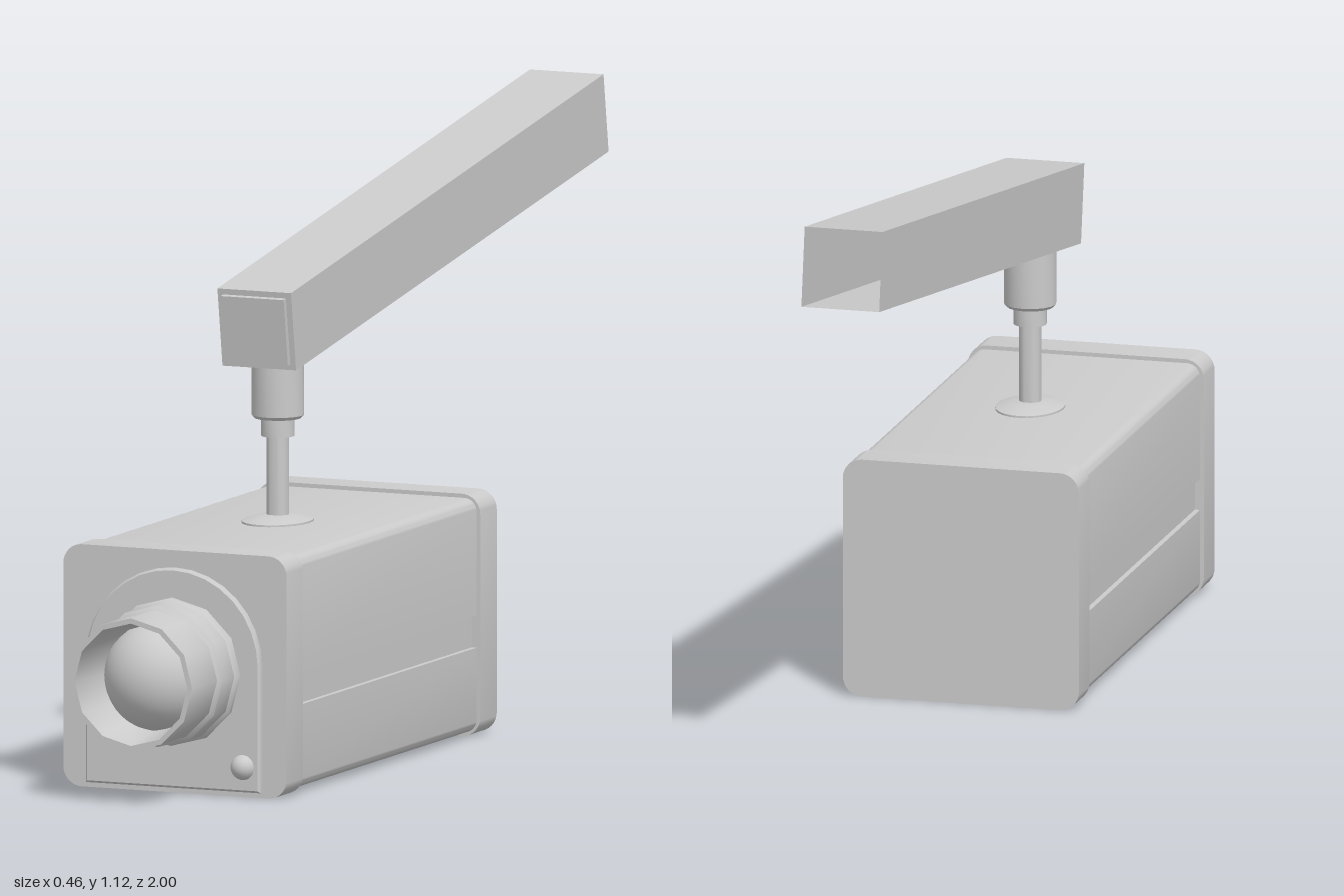
import * as THREE from 'three';
import { toCreasedNormals } from 'three/addons/utils/BufferGeometryUtils.js';

const grey = new THREE.MeshStandardMaterial({ color: 0xcccccc });
const greyDouble = new THREE.MeshStandardMaterial({ color: 0xcccccc, side: THREE.DoubleSide });
const CY = 0.2275; // height of the housing axis

function add(parent, name, geometry, position = [0, 0, 0], material = grey) {
  const mesh = new THREE.Mesh(geometry, material);
  mesh.name = name;
  mesh.position.set(...position);
  parent.add(mesh);
  return mesh;
}

// Square outline with rounded corners and an optional shallow groove in each side
function housingShape(half, radius, groove) {
  const s = new THREE.Shape();
  const c = half - radius;
  s.absarc(c, -c, radius, -Math.PI / 2, 0);
  if (groove) [[half, -0.06], [half - groove, -0.06], [half - groove, 0], [half, 0]].forEach(p => s.lineTo(...p));
  s.absarc(c, c, radius, 0, Math.PI / 2);
  s.absarc(-c, c, radius, Math.PI / 2, Math.PI);
  if (groove) [[-half, 0], [groove - half, 0], [groove - half, -0.06], [-half, -0.06]].forEach(p => s.lineTo(...p));
  s.absarc(-c, -c, radius, Math.PI, Math.PI * 1.5);
  return s;
}

function extrude(shape, depth, curveSegments = 4, bevel = 0) {
  return toCreasedNormals(new THREE.ExtrudeGeometry(shape, {
    depth, curveSegments, bevelEnabled: bevel > 0,
    bevelSize: bevel, bevelThickness: bevel, bevelOffset: -bevel, bevelSegments: 1,
  }), 0.6);
}

function lathe(points, segments) {
  return toCreasedNormals(new THREE.LatheGeometry(points.map(p => new THREE.Vector2(...p)), segments), 0.6);
}

export function createModel() {
  const model = new THREE.Group();
  model.name = 'securityCamera';

  // Housing with two end caps
  add(model, 'housing', extrude(housingShape(0.22, 0.025, 0.01), 0.84), [0, CY, -0.1]);
  const cap = extrude(housingShape(0.2275, 0.037), 0.075);
  add(model, 'frontCap', cap, [0, CY, 0.725]);
  add(model, 'rearCap', cap, [0, CY, -0.153]);

  // Arched face plate
  const arch = new THREE.Shape();
  arch.moveTo(-0.178, 0.01);
  arch.lineTo(0.178, 0.01);
  arch.absarc(0, 0.245, 0.178, 0, Math.PI);
  add(model, 'facePlate', extrude(arch, 0.008, 8, 0.004), [0, 0, 0.8]);

  // Stepped lens barrel, open at the mouth
  const barrel = lathe([
    [0.139, 0.8], [0.139, 0.82], [0.133, 0.827], [0.133, 0.88], [0.125, 0.887],
    [0.125, 1], [0.115, 1], [0.098, 0.88],
  ], 12).rotateX(Math.PI / 2);
  add(model, 'lensBarrel', barrel, [0, 0.229, 0], greyDouble);
  add(model, 'lensGlass', new THREE.SphereGeometry(0.105, 32, 20), [0, 0.229, 0.865]);
  add(model, 'indicator', new THREE.SphereGeometry(0.024, 16, 12), [0.143, 0.057, 0.808]);

  // Mounting flange and stepped post
  const flange = add(model, 'mountFlange', lathe([[1, 0.445], [1, 0.451], [0.55, 0.46], [0, 0.462]], 24), [0, 0, 0.334], greyDouble);
  flange.scale.set(0.064, 1, 0.083);
  add(model, 'mountPost', lathe([
    [0.021, 0.45], [0.021, 0.608], [0.031, 0.608], [0.031, 0.642],
    [0.044, 0.642], [0.049, 0.648], [0.049, 0.8],
  ], 16), [0, 0, 0.334], greyDouble);

  // Sloping square arm, open at the back and closed by a plug at the front
  const arm = new THREE.Group();
  arm.name = 'arm';
  arm.position.set(0, 0.931, -0.279);
  arm.rotation.x = 0.155;
  model.add(arm);
  const L = 1.434;
  const tube = new THREE.CylinderGeometry(0.075 * Math.SQRT2, 0.075 * Math.SQRT2, L, 4, 1, true);
  tube.rotateY(Math.PI / 4).rotateX(Math.PI / 2);
  add(arm, 'armTube', toCreasedNormals(tube, 0.6), [0, 0, 0], greyDouble);
  add(arm, 'armEnd', new THREE.PlaneGeometry(0.15, 0.15), [0, 0, L / 2], greyDouble);
  add(arm, 'armEndPlug', new THREE.BoxGeometry(0.128, 0.128, 0.012), [0, 0, L / 2 + 0.005]);

  return model;
}
